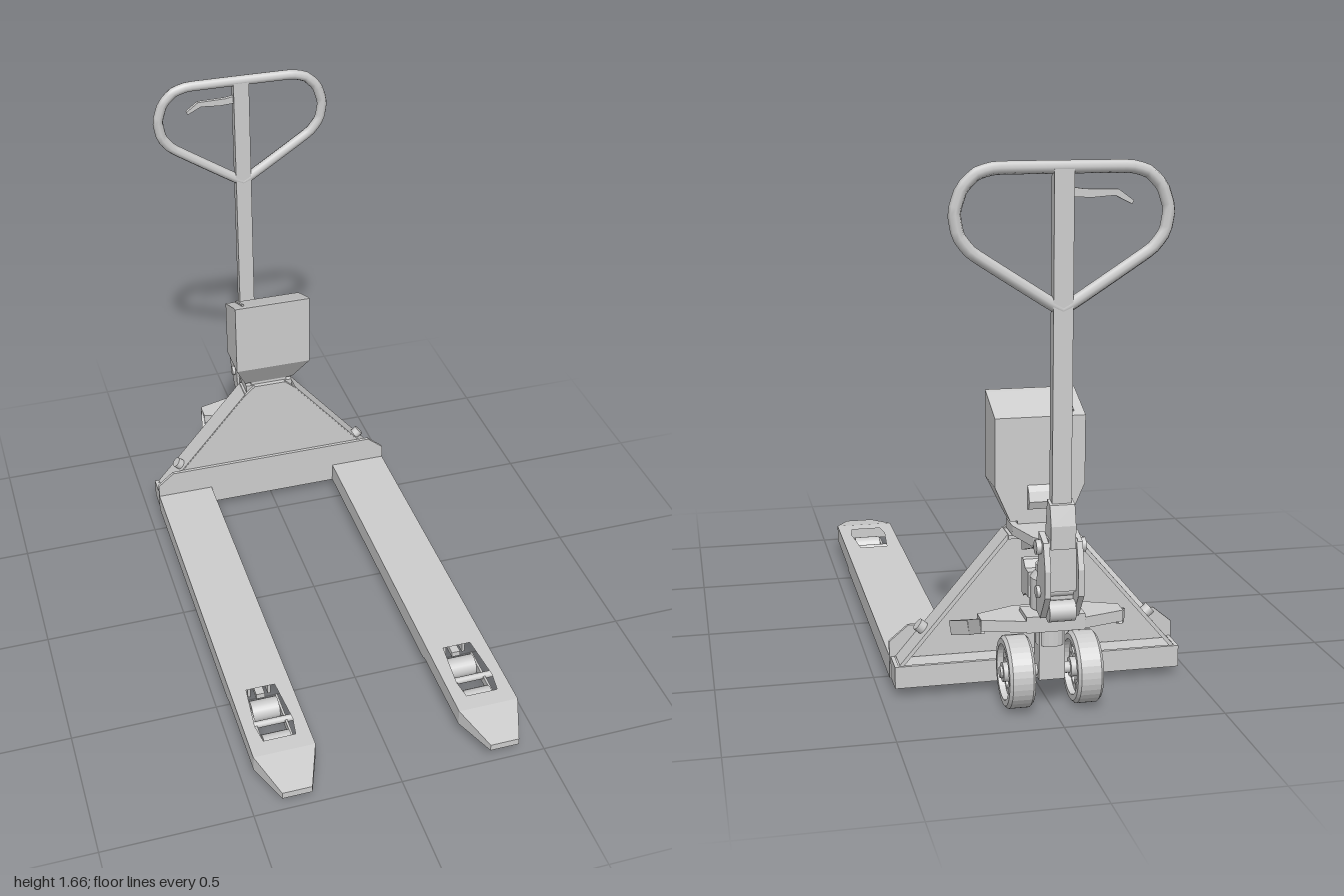
import * as THREE from 'three';

const steel = new THREE.MeshStandardMaterial({ color: 0xcccccc });
steel.name = 'grey steel';

const V = (x, y, z) => new THREE.Vector3(x, y, z);
const vec2 = (pts) => pts.map(([a, b]) => new THREE.Vector2(a, b));

function add(parent, name, geo, x = 0, y = 0, z = 0) {
  const m = new THREE.Mesh(geo, steel);
  m.name = name;
  m.position.set(x, y, z);
  parent.add(m);
  return m;
}
const box = (p, name, w, h, d, x, y, z) => add(p, name, new THREE.BoxGeometry(w, h, d), x, y, z);

// cylinder along x, y or z
function cyl(p, name, r, len, axis, x, y, z, seg = 20) {
  const g = new THREE.CylinderGeometry(r, r, len, seg);
  if (axis === 'x') g.rotateZ(Math.PI / 2);
  if (axis === 'z') g.rotateX(Math.PI / 2);
  return add(p, name, g, x, y, z);
}

function extrude(pts, depth, holes = []) {
  const s = new THREE.Shape(vec2(pts));
  s.holes = holes.map((h) => new THREE.Path(vec2(h)));
  return new THREE.ExtrudeGeometry(s, { depth, bevelEnabled: false });
}
// outline of [z, y], centred on x
const extrudeX = (pts, w, holes) => extrude(pts, w, holes).translate(0, 0, -w / 2).rotateY(-Math.PI / 2);
// outline of [x, z], raised from y0
const flip = (pts) => pts.map(([x, z]) => [x, -z]);
const extrudeY = (pts, y0, h, holes = []) =>
  extrude(flip(pts), h, holes.map(flip)).rotateX(-Math.PI / 2).translate(0, y0, 0);

// flat bar between two points
function bar(p, name, a, b, w, h) {
  const m = box(p, name, w, h, a.distanceTo(b), 0, 0, 0);
  m.position.copy(a).add(b).multiplyScalar(0.5);
  m.lookAt(b);
  return m;
}

function reshape(geo, rule) {
  const p = geo.attributes.position;
  const v = new THREE.Vector3();
  for (let i = 0; i < p.count; i++) {
    v.fromBufferAttribute(p, i);
    rule(v);
    p.setXYZ(i, v.x, v.y, v.z);
  }
  geo.computeVertexNormals();
  return geo;
}

const rect = (x0, x1, z0, z1) => [[x0, z0], [x1, z0], [x1, z1], [x0, z1]];

// hollow fork with a roller opening and a sloping tip
function fork(side) {
  const g = new THREE.Group();
  g.name = side > 0 ? 'leftFork' : 'rightFork';
  g.position.x = 0.355 * side;
  const w = 0.105;
  const opening = [[-0.05, 0.55], [0.05, 0.55], [0.065, 0.72], [0.055, 0.79], [-0.055, 0.79], [-0.065, 0.72]];
  add(g, 'forkTop', extrudeY(rect(-w, w, -0.58, 0.85), 0.09, 0.012, [opening]));
  for (const s of [-1, 1]) {
    add(g, 'forkWall', extrudeX([[-0.58, 0.03], [0.5, 0.03], [0.52, 0.04], [0.85, 0.045], [0.85, 0.1], [-0.58, 0.1]], 0.012), s * (w - 0.006));
    box(g, 'innerRail', 0.01, 0.045, 1.1, s * 0.035, 0.068, -0.02);
    box(g, 'rollerRocker', 0.008, 0.03, 0.22, s * 0.052, 0.05, 0.67);
  }
  const drop = (v) => { v.y -= Math.max(0, v.z - 0.85) * (v.y > 0.07 ? 0.17 : -0.05); };
  const tip = [[-w, 0.85], [w, 0.85], [0.05, 1], [-0.05, 1]];
  const inner = [[-w + 0.012, 0.852], [w - 0.012, 0.852], [0.042, 0.988], [-0.042, 0.988]];
  add(g, 'forkTipSkirt', reshape(extrudeY(tip, 0.045, 0.045, [inner]), drop));
  add(g, 'forkTipTop', reshape(extrudeY(tip, 0.09, 0.012), drop));
  cyl(g, 'entryRoller', 0.018, 0.07, 'x', 0, 0.055, 0.95, 12);

  // tandem load rollers
  for (const z of [0.595, 0.755]) {
    cyl(g, 'loadRoller', 0.036, 0.094, 'x', 0, 0.042, z, 24);
    cyl(g, 'rollerAxle', 0.01, 0.12, 'x', 0, 0.042, z, 10);
  }
  cyl(g, 'rockerAxle', 0.012, 0.2, 'x', 0, 0.06, 0.675, 12);
  box(g, 'pushRod', 0.03, 0.02, 1.1, 0, 0.06, 0);
  return g;
}

// steering wheel with seven openings between spokes
function wheel(x) {
  const g = new THREE.Group();
  g.name = 'steerWheel';
  g.position.set(x, 0.112, -0.81);
  const tyre = new THREE.LatheGeometry(vec2([[0.085, -0.04], [0.102, -0.04], [0.111, -0.031], [0.111, 0.031],
    [0.102, 0.04], [0.085, 0.04], [0.085, -0.04]]), 36).toNonIndexed();
  tyre.computeVertexNormals();
  add(g, 'tyre', tyre.rotateZ(Math.PI / 2));
  const n = 7, holes = [], rim = [];
  const at = (r, a) => [r * Math.cos(a), r * Math.sin(a)];
  for (let i = 0; i < 36; i++) rim.push(at(0.088, (i / 36) * Math.PI * 2));
  for (let i = 0; i < n; i++) {
    const a = (i / n) * Math.PI * 2;
    holes.push([at(0.042, a - 0.22), at(0.074, a - 0.32), at(0.077, a), at(0.074, a + 0.32), at(0.042, a + 0.22)]);
  }
  add(g, 'spokedHub', extrudeX(rim, 0.04, holes));
  cyl(g, 'hub', 0.03, 0.085, 'x', 0, 0, 0);
  return g;
}

export function createModel() {
  const model = new THREE.Group();
  model.name = 'palletTruck';
  model.add(fork(1), fork(-1));

  // cross frame
  const frame = new THREE.Group();
  frame.name = 'frame';
  model.add(frame);
  add(frame, 'crossPlate', extrude([[-0.46, 0.03], [0.46, 0.03], [0.46, 0.15], [0.4, 0.2], [-0.4, 0.2], [-0.46, 0.15]], 0.012), 0, 0, -0.586);
  add(frame, 'uprightPlate', extrude([[-0.44, 0.1], [0.44, 0.1], [0.1, 0.5], [0.06, 0.535], [-0.06, 0.535], [-0.1, 0.5]], 0.012), 0, 0, -0.6);
  box(frame, 'floorPlate', 0.91, 0.012, 0.1, 0, 0.092, -0.63);
  box(frame, 'rearRail', 0.91, 0.07, 0.012, 0, 0.066, -0.674);
  box(frame, 'topPlate', 0.2, 0.012, 0.09, 0, 0.495, -0.635);
  for (const s of [-1, 1]) {
    box(frame, 'frameEnd', 0.012, 0.07, 0.1, s * 0.45, 0.066, -0.63);
    const flange = box(frame, 'slopedFlange', 0.012, 0.525, 0.085, s * 0.266, 0.3, -0.632);
    flange.rotation.z = s * Math.atan2(0.34, 0.4);
    const bolt = cyl(frame, 'pivotBolt', 0.02, 0.03, 'x', s * 0.365, 0.207, -0.625, 12);
    bolt.rotation.z = s * Math.atan2(0.34, 0.4);
    bar(frame, 'stayArm', V(s * 0.275, 0.21, -0.66), V(s * 0.235, 0.24, -0.75), 0.012, 0.045);
    bar(frame, 'stayArm', V(s * 0.235, 0.24, -0.745), V(s * 0.215, 0.275, -0.84), 0.012, 0.045);
  }

  // display console
  const con = new THREE.Group();
  con.name = 'console';
  model.add(con);
  add(con, 'consoleBody', extrudeX([[-0.53, 0.655], [-0.527, 0.93], [-0.545, 0.925], [-0.678, 0.87], [-0.678, 0.655]], 0.284));
  const lower = extrudeX([[-0.53, 0.655], [-0.678, 0.655], [-0.678, 0.545], [-0.605, 0.545]], 0.284);
  add(con, 'consoleBase', reshape(lower, (v) => { if (v.y < 0.6) v.x *= 0.66; }));
  const slot = box(con, 'displayStrip', 0.008, 0.006, 0.11, -0.105, 0.903, -0.61);
  slot.rotation.x = -0.39;
  add(con, 'rearPlug', extrudeX([[-0.675, 0.66], [-0.695, 0.64], [-0.705, 0.61], [-0.695, 0.585], [-0.675, 0.58]], 0.08));
  box(con, 'consoleFoot', 0.14, 0.03, 0.07, 0, 0.535, -0.64);

  // lifting arm above the pump
  const arm = extrudeY([[-0.09, -0.6], [0.09, -0.6], [0.09, -0.69], [0.055, -0.82], [0.03, -0.855], [-0.03, -0.855], [-0.055, -0.82], [-0.09, -0.69]], 0.505, 0.03);
  add(model, 'liftArm', arm);
  for (const s of [-1, 1]) {
    add(model, 'liftArmRib', extrudeX([[-0.67, 0.45], [-0.67, 0.51], [-0.83, 0.51], [-0.8, 0.495]], 0.012), s * 0.05);
  }

  // hydraulic pump
  const pump = new THREE.Group();
  pump.name = 'pump';
  model.add(pump);
  const profile = vec2([[0, 0.2], [0.045, 0.2], [0.045, 0.31], [0.062, 0.315], [0.062, 0.41], [0.045, 0.43], [0.045, 0.45],
    [0.022, 0.45], [0.022, 0.49], [0.034, 0.49], [0.034, 0.515], [0, 0.515]]);
  const body = new THREE.LatheGeometry(profile, 20).toNonIndexed();
  body.computeVertexNormals();
  add(pump, 'pumpCylinder', body, 0, 0, -0.815);
  add(pump, 'pumpTank', extrudeX([[-0.71, 0.33], [-0.71, 0.44], [-0.735, 0.44], [-0.76, 0.42], [-0.8, 0.42], [-0.8, 0.34], [-0.76, 0.34], [-0.735, 0.325]], 0.13));
  box(pump, 'pumpValve', 0.1, 0.09, 0.08, 0, 0.37, -0.89);
  const plate = [[-0.22, -0.79], [-0.1, -0.74], [0.1, -0.74], [0.22, -0.79], [0.22, -0.85], [0.08, -0.89], [-0.08, -0.89], [-0.22, -0.85]];
  add(pump, 'basePlate', extrudeY(plate, 0.262, 0.035));
  box(pump, 'plateBracket', 0.18, 0.05, 0.1, 0, 0.285, -0.84);

  // wheels
  model.add(wheel(0.105), wheel(-0.105));
  cyl(model, 'wheelAxle', 0.018, 0.31, 'x', 0, 0.112, -0.81, 14);
  box(model, 'axleBlock', 0.08, 0.17, 0.07, 0, 0.175, -0.81);

  // handle joint
  const joint = new THREE.Group();
  joint.name = 'handleJoint';
  model.add(joint);
  for (const s of [-1, 1]) {
    add(joint, 'jointCheek', extrudeX([[-0.88, 0.33], [-0.93, 0.32], [-0.99, 0.4], [-0.99, 0.48], [-0.965, 0.56], [-0.905, 0.58], [-0.895, 0.46], [-0.88, 0.42]], 0.018), s * 0.05);
    cyl(joint, 'pinHead', 0.022, 0.02, 'x', s * 0.065, 0.54, -0.93, 12);
  }
  cyl(joint, 'jointPin', 0.018, 0.14, 'x', 0, 0.4, -0.92, 12);
  cyl(joint, 'pumpRoller', 0.032, 0.08, 'x', 0, 0.345, -0.945, 16);
  box(joint, 'jointBlock', 0.085, 0.16, 0.05, 0, 0.49, -0.94);
  add(joint, 'handleSocket', extrudeX([[-0.9, 0.54], [-0.97, 0.54], [-0.972, 0.61], [-0.955, 0.67], [-0.92, 0.68], [-0.905, 0.6]], 0.075));

  // handle
  const handle = new THREE.Group();
  handle.name = 'handle';
  model.add(handle);
  box(handle, 'handlePole', 0.058, 1.09, 0.034, 0, 1.1, -0.93);
  const half = [[0.06, 1.275], [0.26, 1.405], [0.3, 1.455], [0.311, 1.52], [0.29, 1.585], [0.25, 1.625], [0.19, 1.641]];
  const loop = [[0, 1.24], ...half, ...half.map(([x, y]) => [-x, y]).reverse()];
  const curve = new THREE.CatmullRomCurve3(loop.map(([x, y]) => V(x, y, -0.93)), true, 'catmullrom', 0.15);
  add(handle, 'gripLoop', new THREE.TubeGeometry(curve, 72, 0.019, 8, true));
  const lever = [[0, 1.56], [-0.08, 1.555], [-0.15, 1.56], [-0.2, 1.535], [-0.205, 1.545], [-0.16, 1.578], [-0.06, 1.58], [0, 1.59]];
  add(handle, 'releaseLever', extrude(lever, 0.014), 0, 0, -0.937);
  return model;
}
